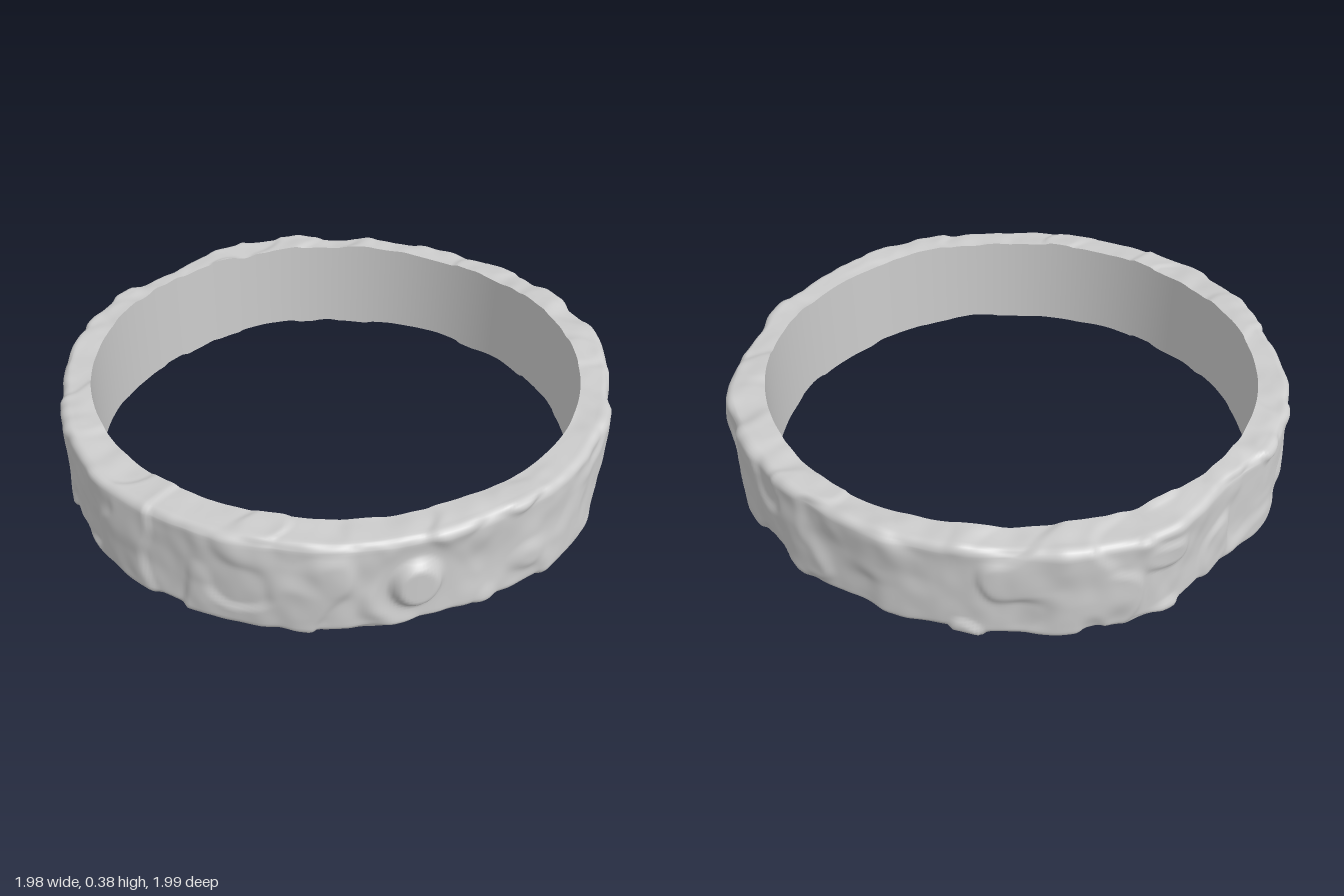
import * as THREE from 'three';

const INNER = 0.87, CENTRE_Z = -0.02, BOTTOM = 0.02, TOP = 0.377, ROUND = 0.03, STEPS = 540;

// Outer radius every 15 degrees, measured from +x towards +z
const OUTLINE = [
  0.985, 0.995, 0.99, 1.0, 1.008, 1.008, 1.013, 1.01, 0.995, 0.978, 0.99, 0.99,
  0.985, 0.957, 1.01, 1.005, 0.985, 0.985, 0.98, 0.983, 0.987, 1.012, 1.0, 0.978,
];

const smooth = (t) => t * t * (3 - 2 * t);
const step = (a, b, x) => smooth(THREE.MathUtils.clamp((x - a) / (b - a), 0, 1));

function outerRadius(phi) {
  const f = (phi / (Math.PI * 2)) * OUTLINE.length;
  const i = Math.floor(f), t = f - i;
  const at = (k) => OUTLINE[(k + OUTLINE.length) % OUTLINE.length];
  const [a, b, c, d] = [at(i - 1), at(i), at(i + 1), at(i + 2)];
  return b + 0.5 * t * (c - a + t * (2 * a - 5 * b + 4 * c - d + t * (3 * (b - c) + d - a)));
}

// Smooth 3D value noise from -1 to 1
function hash(x, y, z) {
  let h = Math.imul(x, 374761393) ^ Math.imul(y, 668265263) ^ Math.imul(z, 1274126177);
  h = Math.imul(h ^ (h >>> 13), 1274126177);
  return ((h ^ (h >>> 16)) >>> 0) / 2147483648 - 1;
}
function noise(x, y, z) {
  const ix = Math.floor(x), iy = Math.floor(y), iz = Math.floor(z);
  const fx = smooth(x - ix), fy = smooth(y - iy), fz = smooth(z - iz);
  const mix = THREE.MathUtils.lerp;
  const row = (j, k) => mix(hash(ix, iy + j, iz + k), hash(ix + 1, iy + j, iz + k), fx);
  return mix(mix(row(0, 0), row(1, 0), fy), mix(row(0, 1), row(1, 1), fy), fz);
}

// Hammered relief: warped broad dents, chipped ledges and a finer ripple
function relief(x, y, z) {
  const w = 0.05 * noise(x * 6 + 9, y * 6, z * 6);
  const broad = noise((x + w) * 6, (y - w) * 5 + 3, (z + w) * 6);
  const ledge = step(-0.1, 0.3, noise((x - w) * 8 + 20, (y + w) * 7, z * 8)) - 0.5;
  const fine = noise(x * 17 + 5, y * 13, z * 17 + 8);
  return 0.5 * broad + 0.5 * ledge + 0.18 * fine;
}

// Cross-section from the inner bottom edge, round the outside, to the inner top edge.
// Each entry: radial position and height, with the outward direction.
function section(width) {
  const pts = [];
  const flat = width - ROUND;
  for (let k = 0; k < 9; k++) pts.push([flat * k / 9, BOTTOM, 0, -1]);
  const corner = (cy, a0) => {
    for (let k = 0; k <= 6; k++) {
      const a = a0 + (Math.PI / 2) * k / 6;
      pts.push([flat + ROUND * Math.cos(a), cy + ROUND * Math.sin(a), Math.cos(a), Math.sin(a)]);
    }
  };
  corner(BOTTOM + ROUND, -Math.PI / 2);
  for (let k = 1; k < 26; k++) {
    pts.push([width, THREE.MathUtils.lerp(BOTTOM + ROUND, TOP - ROUND, k / 26), 1, 0]);
  }
  corner(TOP - ROUND, 0);
  for (let k = 8; k >= 0; k--) pts.push([flat * k / 9, TOP, 0, 1]);
  return pts;
}

// One finished cross-section of the hammered surface at an angle
function hammeredLoop(phi) {
  const c = Math.cos(phi), s = Math.sin(phi);
  return section(outerRadius(phi) - 0.006 - INNER).map(([t, y, nr, ny]) => {
    const r = INNER + t;
    let push = relief(r * c, y, r * s);
    push *= nr > 0 ? 0.024 * nr + 0.016 * Math.abs(ny) : 0.016;
    // Raised round stud in a shallow moat
    const d = Math.hypot((phi - Math.PI / 4) * r, (y - 0.195) * 0.9);
    const near = nr * (1 - step(0.1, 0.16, d));
    const stud = 0.018 * (1 - step(0.055, 0.09, d)) - 0.014 * step(0.06, 0.095, d);
    push = THREE.MathUtils.lerp(push, stud, near);
    const rr = r + nr * push;
    return [rr * c, y + ny * push, rr * s + CENTRE_Z];
  });
}

// Joins a closed series of cross-sections into a smooth surface
function loft(loops) {
  const n = loops.length, m = loops[0].length, index = [];
  for (let i = 0; i < n; i++) {
    const next = (i + 1) % n;
    for (let j = 0; j < m - 1; j++) {
      const a = i * m + j, b = a + 1, c = next * m + j, d = c + 1;
      index.push(a, b, c, b, d, c);
    }
  }
  const geometry = new THREE.BufferGeometry();
  geometry.setAttribute('position', new THREE.Float32BufferAttribute(loops.flat(2), 3));
  geometry.setIndex(index);
  geometry.computeVertexNormals();
  return geometry;
}

export function createModel() {
  const group = new THREE.Group();
  group.name = 'hammeredRing';
  const material = new THREE.MeshStandardMaterial({ color: 0xcccccc });
  const add = (name, geometry) => {
    const mesh = new THREE.Mesh(geometry, material);
    mesh.name = name;
    group.add(mesh);
  };

  const loops = Array.from({ length: STEPS }, (_, i) => hammeredLoop((i / STEPS) * Math.PI * 2));
  // Uneven outside, top and bottom of the band
  add('hammeredBand', loft(loops));
  // Smooth round bore, meeting the band at sharp edges
  add('innerWall', loft(loops.map((loop) => [loop[loop.length - 1], loop[0]])));
  return group;
}
